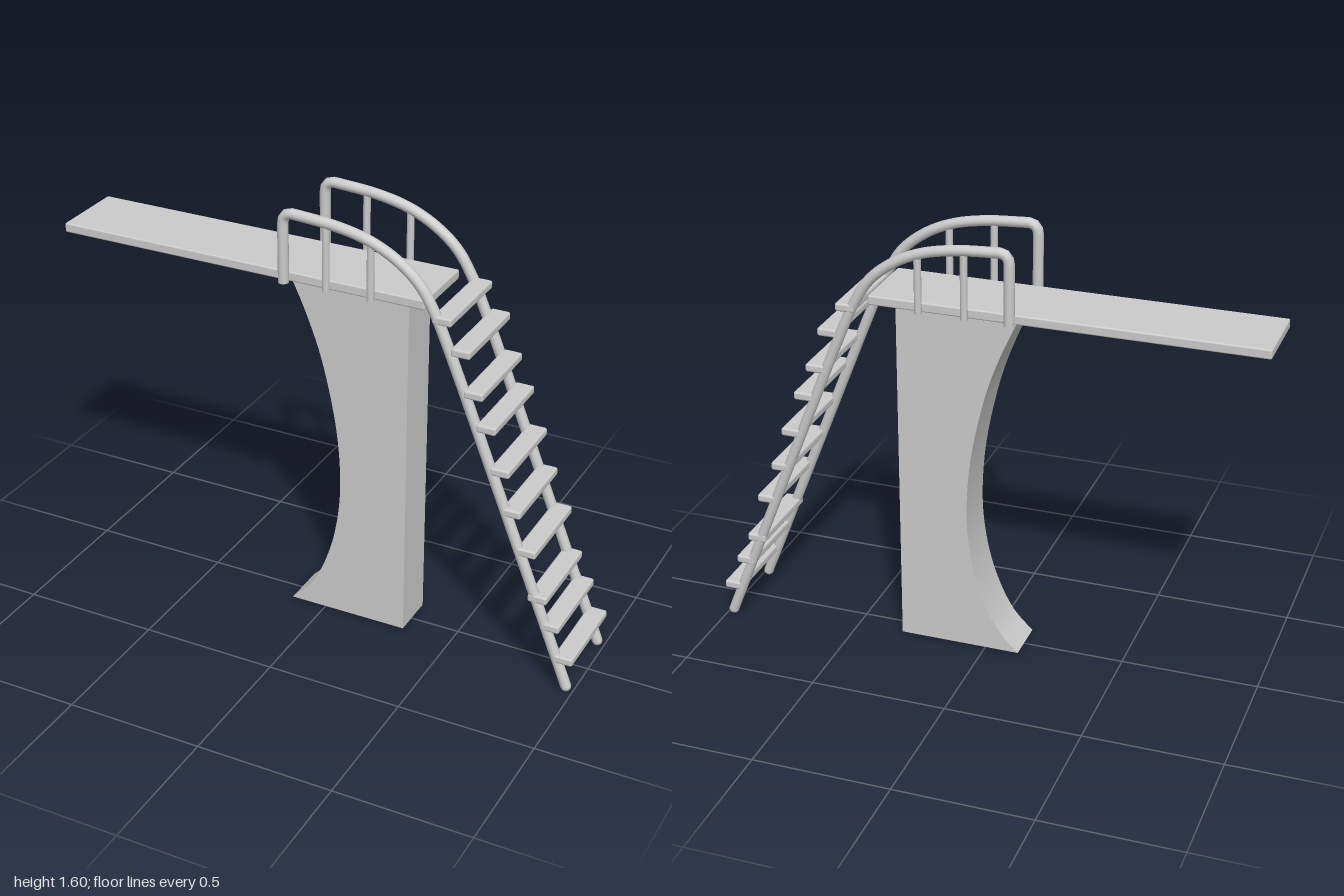
import * as THREE from 'three';
import { RoundedBoxGeometry } from 'three/addons/geometries/RoundedBoxGeometry.js';

const material = new THREE.MeshStandardMaterial({ color: 0xcccccc });

export function createModel() {
  const group = new THREE.Group();
  const add = (name, geometry, x = 0, y = 0, z = 0, parent = group) => {
    const mesh = new THREE.Mesh(geometry, material);
    mesh.name = name;
    mesh.position.set(x, y, z);
    parent.add(mesh);
    return mesh;
  };

  // Concave support pillar
  const side = new THREE.Shape();
  side.moveTo(-0.13, 0.01);
  side.lineTo(0.32, 0.01);
  side.lineTo(0.32, 1.33);
  side.lineTo(-0.13, 1.33);
  side.splineThru([
    [-0.06, 1.175], [0.0, 1.0], [0.05, 0.76], [0.065, 0.54],
    [0.047, 0.36], [0.005, 0.21], [-0.055, 0.09], [-0.13, 0.01],
  ].map(([x, y]) => new THREE.Vector2(x, y)));
  const pillar = new THREE.ExtrudeGeometry(side, { depth: 0.17, bevelEnabled: false, curveSegments: 32 });
  add('pillar', pillar, 0, 0, -0.085);

  // Diving board
  add('board', new RoundedBoxGeometry(1.4, 0.035, 0.28, 2, 0.006), -0.3, 1.343, 0);

  // Handrail bends over the platform and runs down as the ladder stringer
  const v = (x, y) => new THREE.Vector3(x, y, 0);
  const path = new THREE.CurvePath();
  path.add(new THREE.LineCurve3(v(-0.115, 1.33), v(-0.115, 1.54)));
  path.add(new THREE.QuadraticBezierCurve3(v(-0.115, 1.54), v(-0.115, 1.582), v(-0.075, 1.58)));
  path.add(new THREE.CatmullRomCurve3([
    v(-0.075, 1.58), v(0.08, 1.568), v(0.2, 1.542), v(0.3, 1.495),
    v(0.385, 1.425), v(0.445, 1.33), v(0.49, 1.23), v(0.55, 1.085),
  ]));
  path.add(new THREE.LineCurve3(v(0.55, 1.085), v(0.975, 0.02)));
  const railGeometry = new THREE.TubeGeometry(path, 120, 0.019, 12);
  const capGeometry = new THREE.SphereGeometry(0.019, 12, 8);

  for (const s of [1, -1]) {
    const rail = new THREE.Group();
    rail.name = s > 0 ? 'frontRail' : 'backRail';
    rail.position.z = 0.153 * s;
    group.add(rail);
    add('handrail', railGeometry, 0, 0, 0, rail);
    add('railFoot', capGeometry, 0.975, 0.02, 0, rail);
    add('railPostEnd', new THREE.CylinderGeometry(0.019, 0.019, 0.01, 12), -0.115, 1.33, 0, rail);
    // Thin uprights between board and handrail
    for (const [x, top] of [[0.045, 1.568], [0.21, 1.535]]) {
      const h = top - 1.325;
      add('upright', new THREE.CylinderGeometry(0.013, 0.013, h, 10), x, 1.325 + h / 2, 0, rail);
    }
  }

  // Ladder treads: outer edge x and height
  const treadGeometry = new RoundedBoxGeometry(0.07, 0.03, 0.344, 2, 0.008);
  const treads = [
    [0.51, 1.315], [0.58, 1.213], [0.63, 1.07], [0.68, 0.955], [0.735, 0.805],
    [0.782, 0.66], [0.843, 0.52], [0.892, 0.35], [0.942, 0.248], [0.998, 0.13],
  ];
  for (const [x, y] of treads) add('tread', treadGeometry, x - 0.035, y, 0);

  return group;
}
